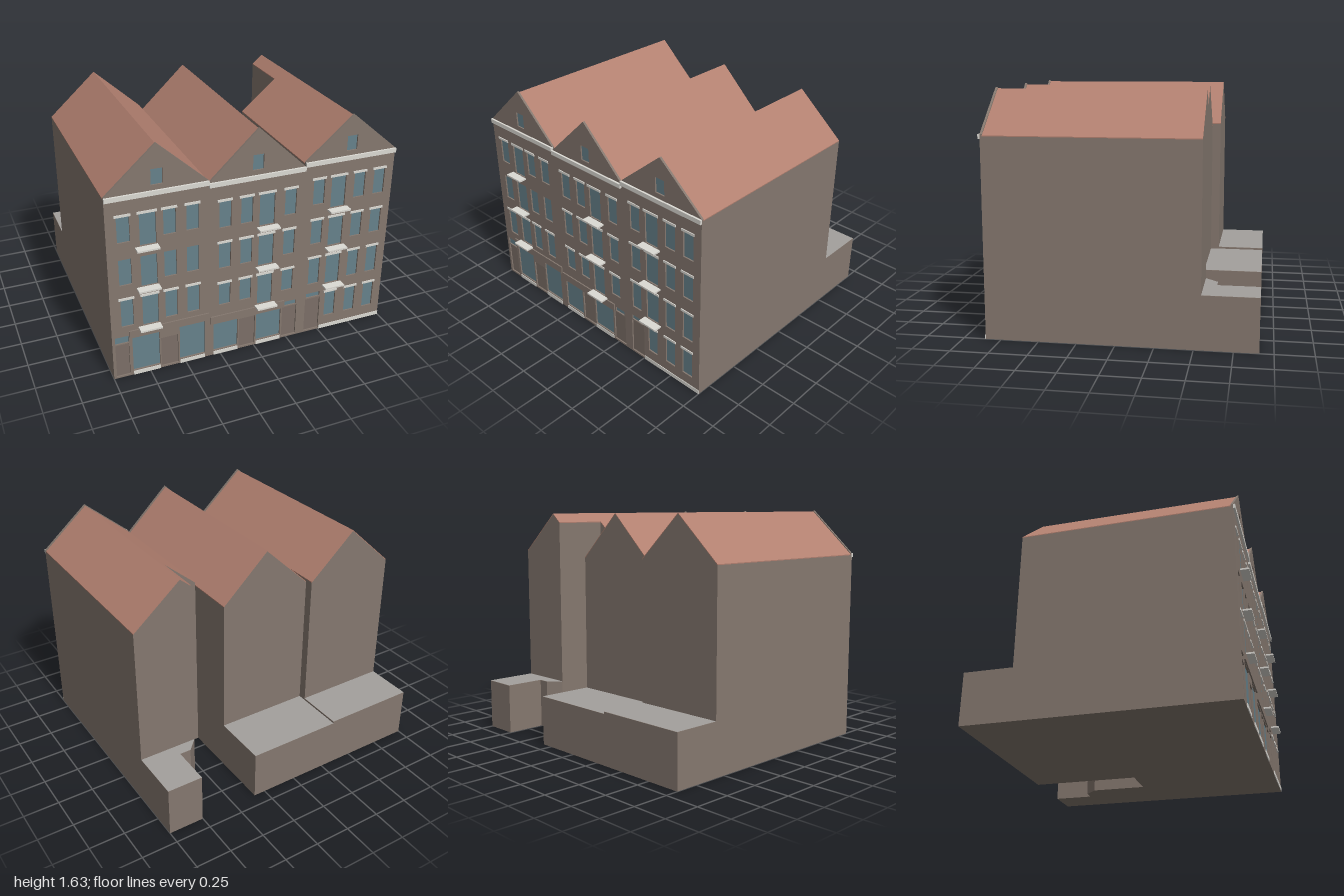
import * as THREE from 'three';

const mat = (name, color) => {
  const m = new THREE.MeshStandardMaterial({ color });
  m.name = name;
  return m;
};

const FRONT = 0.853;   // outer face of the street facade
const BACK = 0.838;    // inner face of the facade, front of the house bodies
const REAR = -0.91;
const WIDTH = 2 / 3;   // width of one house

export function createModel() {
  const root = new THREE.Group();
  root.name = 'terracedHouses';
  const wall = mat('brownWall', 0x85786f);
  const roof = mat('terracottaRoof', 0xb28070);
  const flat = mat('greyFlatRoof', 0xa3a09d);
  const glass = mat('blueGlass', 0x66818b);
  const trim = mat('paleTrim', 0xdcdad4);
  const wood = mat('brownDoor', 0x7c6f67);

  const add = (parent, name, geometry, material) => {
    const mesh = new THREE.Mesh(geometry, material);
    mesh.name = name;
    parent.add(mesh);
    return mesh;
  };
  const box = (parent, name, x0, x1, y0, y1, z0, z1, material) =>
    add(parent, name, new THREE.BoxGeometry(x1 - x0, y1 - y0, z1 - z0), material)
      .position.set((x0 + x1) / 2, (y0 + y1) / 2, (z0 + z1) / 2);
  const shapeOf = (pts) => new THREE.Shape(pts.map(([x, y]) => new THREE.Vector2(x, y)));

  // Prism with an x-y profile running from z0 to z1
  const prism = (parent, name, shape, z0, z1, material) => {
    const g = new THREE.ExtrudeGeometry(shape, { depth: z1 - z0, bevelEnabled: false });
    g.translate(0, 0, z0);
    add(parent, name, g, material);
  };

  // Low extension with an x-z footprint and a flat grey top
  const annex = (name, footprint, height) => {
    const shape = shapeOf(footprint.map(([x, z]) => [x, -z]));
    const walls = new THREE.ExtrudeGeometry(shape, { depth: height, bevelEnabled: false });
    add(root, name, walls.rotateX(-Math.PI / 2), wall);
    const top = new THREE.ShapeGeometry(shape).rotateX(-Math.PI / 2);
    add(root, name + 'Roof', top.translate(0, height + 0.002, 0), flat);
  };

  // One gabled house with its pierced facade
  const buildHouse = (name, x0, ridge, eave) => {
    const house = new THREE.Group();
    house.name = name;
    root.add(house);
    const x1 = x0 + WIDTH;
    const mid = x0 + WIDTH / 2;
    const facade = shapeOf([[x0, 0], [x1, 0], [x1, eave], [mid, ridge], [x0, eave]]);

    // Opening cut through the facade with a plate set behind it
    const opening = (part, a, b, y0, y1, material) => {
      facade.holes.push(new THREE.Path([[a, y0], [a, y1], [b, y1], [b, y0]].map(([x, y]) => new THREE.Vector2(x, y))));
      box(house, part, a, b, y0, y1, BACK, BACK + 0.005, material);
    };
    opening('atticWindow', mid - 0.038, mid + 0.037, eave + 0.034, eave + 0.138, glass);

    return {
      // Body from the facade back to z, with roof slopes just below the gable
      body(a, b, z) {
        const roofY = (x) => ridge - 0.014 - (ridge - eave) * Math.abs(x - mid) / (WIDTH / 2);
        const top = [a, mid, b].filter((x) => x >= a && x <= b).map((x) => [x, roofY(x)]);
        prism(house, 'houseBody', shapeOf([[a, 0], [b, 0], ...[...top].reverse()]), z, BACK, wall);
        for (let i = 0; i + 1 < top.length; i++) {
          const [p, q] = [top[i], top[i + 1]];
          prism(house, 'roofSlope', shapeOf([p, q, [q[0], q[1] + 0.006], [p[0], p[1] + 0.006]]), z, BACK, roof);
        }
      },
      // Row of windows; the one in the tall column reaches down to its balcony
      windows(starts, tall, sill, head, tallSill, lintels = true) {
        for (const start of starts) {
          const a = x0 + start;
          const isTall = start === tall;
          const b = a + (isTall ? 0.107 : 0.082);
          opening('window', a, b, isTall ? tallSill : sill, head, glass);
          if (lintels) box(house, 'lintel', a - 0.014, b + 0.008, head - 0.008, head + 0.008, BACK, FRONT + 0.006, trim);
        }
      },
      balcony(a, y) {
        box(house, 'balcony', a, a + 0.147, y - 0.006, y + 0.006, FRONT - 0.005, 0.91, trim);
      },
      plinth(a, b) {
        box(house, 'plinth', a, b, 0, 0.028, FRONT - 0.002, FRONT + 0.004, trim);
      },
      shopWindow(a, b, head) {
        opening('shopWindow', a, b, 0.035, head, glass);
        this.plinth(a, b);
      },
      fascia(a, b, y) {
        box(house, 'shopFascia', a, b, y, y + 0.055, FRONT - 0.005, FRONT + 0.009, wall);
      },
      door(a, b, head) {
        opening('door', a, b, 0.012, head, wood);
      },
      fanlight(a, b, y0, y1) {
        opening('fanlight', a, b, y0, y1, glass);
      },
      // Facade wall and cornice, once all openings are known
      finish() {
        prism(house, 'facade', facade, BACK, FRONT, wall);
        box(house, 'cornice', x0, x1, eave - 0.03, eave, FRONT - 0.005, 0.867, trim);
      },
    };
  };

  // Left house
  const left = buildHouse('leftHouse', -1, 1.632, 1.33);
  const leftColumns = [0.07, 0.213, 0.367, 0.518];
  left.body(-1, -WIDTH / 2, -0.575);
  left.windows(leftColumns, 0.213, 1.01, 1.195, 0.965);
  left.windows(leftColumns, 0.213, 0.705, 0.89, 0.67, false);
  left.windows(leftColumns, 0.213, 0.395, 0.605, 0.375);
  for (const y of [0.955, 0.662, 0.365]) left.balcony(-0.82, y);
  left.shopWindow(-0.865, -0.68, 0.297);
  left.shopWindow(-0.54, -0.362, 0.297);
  left.fascia(-0.885, -0.336, 0.3);
  left.door(-0.98, -0.888, 0.26);
  left.door(-0.67, -0.552, 0.24);
  left.fanlight(-0.98, -0.888, 0.268, 0.32);
  left.finish();

  // Middle house
  const middle = buildHouse('middleHouse', -WIDTH / 2, 1.625, 1.31);
  const middleColumns = [0.071, 0.221, 0.351, 0.531];
  middle.body(-WIDTH / 2, WIDTH / 2, -0.515);
  middle.windows(middleColumns, 0.351, 0.98, 1.175, 0.938);
  middle.windows(middleColumns, 0.351, 0.68, 0.875, 0.637);
  middle.windows(middleColumns, 0.351, 0.395, 0.57, 0.332);
  for (const y of [0.927, 0.626, 0.322]) middle.balcony(0, y);
  middle.shopWindow(-0.3, -0.123, 0.25);
  middle.shopWindow(0.016, 0.2, 0.25);
  middle.fascia(-0.325, 0.222, 0.26);
  middle.door(-0.113, 0.006, 0.245);
  middle.door(0.213, 0.322, 0.255);
  middle.fanlight(0.23, 0.315, 0.263, 0.298);
  middle.finish();

  // Right house, cut back behind its left side
  const right = buildHouse('rightHouse', WIDTH / 2, 1.617, 1.335);
  const rightColumns = [0.069, 0.202, 0.373, 0.523];
  right.body(WIDTH / 2, 0.592, -0.155);
  right.body(0.592, 1, -0.545);
  right.windows(rightColumns, 0.202, 1.015, 1.205, 0.97);
  right.windows(rightColumns, 0.202, 0.715, 0.905, 0.678);
  right.windows(rightColumns, 0.202, 0.395, 0.61, 0.374);
  right.windows([0.213, 0.373, 0.523], 0, 0.1, 0.307, 0.1);
  for (const y of [0.96, 0.665, 0.364]) right.balcony(0.515, y);
  right.plinth(0.51, 1);
  right.door(0.39, 0.505, 0.275);
  right.fanlight(0.395, 0.5, 0.285, 0.32);
  right.finish();

  // Low rear extensions
  annex('leftAnnex', [[-1, -0.575], [-1, REAR], [-WIDTH / 2, REAR], [-WIDTH / 2, -0.575]], 0.36);
  annex('middleAnnex', [[-WIDTH / 2, -0.515], [-WIDTH / 2, REAR], [WIDTH / 2, REAR], [WIDTH / 2, -0.515]], 0.345);
  annex('rightAnnex', [[0.592, -0.545], [0.672, -0.63], [0.752, -0.63], [0.752, REAR], [1, REAR], [1, -0.545]], 0.355);

  return root;
}
